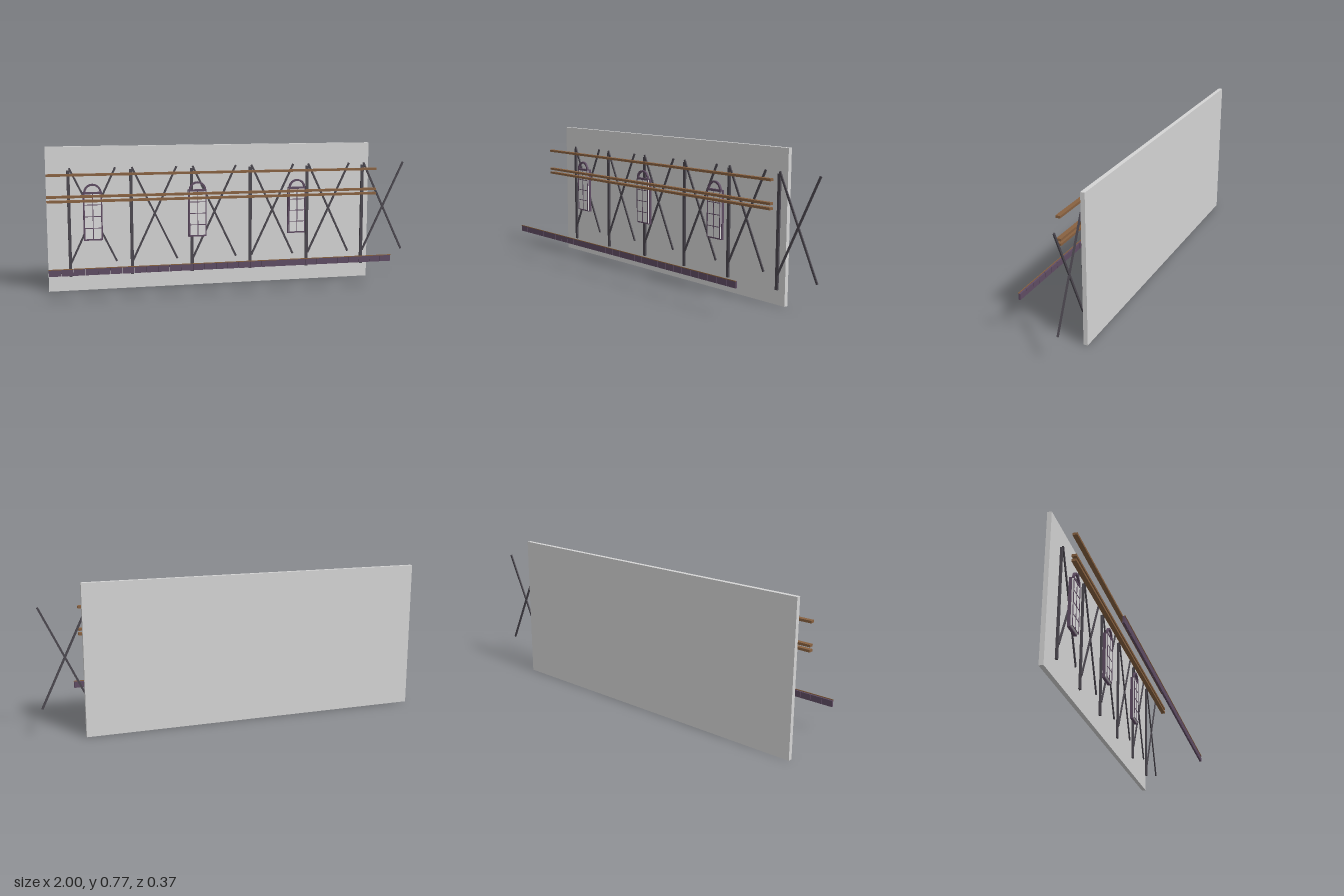
import * as THREE from 'three';

const mat = (name, color) => {
  const m = new THREE.MeshStandardMaterial({ color });
  m.name = name;
  return m;
};

export function createModel() {
  const root = new THREE.Group();
  root.name = 'facadeWall';
  const concrete = mat('light concrete grey', 0xd5d5d5);
  const iron = mat('dark iron', 0x4b474f);
  const plum = mat('dark plum', 0x5f4c63);
  const wood = mat('brown wood', 0x886140);
  const glass = mat('pale glass', 0xdcdcdc);

  // Box given by its minimum and maximum corners
  const box = (parent, name, material, x0, x1, y0, y1, z0, z1) => {
    const mesh = new THREE.Mesh(new THREE.BoxGeometry(x1 - x0, y1 - y0, z1 - z0), material);
    mesh.position.set((x0 + x1) / 2, (y0 + y1) / 2, (z0 + z1) / 2);
    mesh.name = name;
    parent.add(mesh);
    return mesh;
  };

  const L = -1, R = 0.793;
  box(root, 'wall', concrete, L, R, 0, 0.77, -0.185, -0.163);

  // Horizontal wooden rails
  for (const y of [0.494, 0.518, 0.63]) {
    box(root, 'rail', wood, L, R, y - 0.006, y + 0.006, -0.06, -0.037);
  }

  // Low kerb made from a row of blocks with a thin cap strip
  const kerb = new THREE.Group();
  kerb.name = 'kerb';
  root.add(kerb);
  const count = 30, step = (R - L) / count;
  for (let i = 0; i < count; i++) {
    const x = L + i * step;
    box(kerb, 'kerbBlock', plum, x, x + step - 0.002, 0.153, 0.185, 0.172, 0.182);
  }
  box(kerb, 'kerbCap', wood, L, R, 0.185, 0.189, 0.181, 0.184);

  // Posts, each followed by a pair of crossed braces
  const run = 0.24, rise = 0.503;
  for (let i = 0; i < 6; i++) {
    const bay = new THREE.Group();
    bay.name = 'bay';
    bay.position.x = -0.885 + i * 0.3275;
    root.add(bay);
    box(bay, 'post', iron, -0.008, 0.008, 0.079, 0.646, -0.155, -0.145);
    for (const side of [-1, 1]) {
      const brace = box(bay, 'brace', iron, -0.005, 0.005, 0, Math.hypot(run, rise), -0.149, -0.142);
      brace.position.x = 0.125;
      brace.position.y = 0.406;
      brace.rotation.z = side * Math.atan2(run, rise);
    }
  }

  // Arched fanlight ring, a half annulus extruded in depth
  const arch = new THREE.Shape();
  arch.absarc(0, 0, 0.047, 0, Math.PI, false);
  arch.absarc(0, 0, 0.037, Math.PI, 0, true);
  const archGeometry = new THREE.ExtrudeGeometry(arch, {
    depth: 0.011, bevelEnabled: false, curveSegments: 12,
  });

  for (const x of [-0.763, -0.204, 0.356]) {
    const win = new THREE.Group();
    win.name = 'window';
    win.position.x = x;
    root.add(win);
    // Deep outer frame
    for (const s of [-1, 1]) {
      box(win, 'jamb', plum, s * 0.046 - 0.004, s * 0.046 + 0.004, 0.274, 0.531, -0.135, -0.121);
      box(win, 'sashStile', plum, s * 0.045 - 0.003, s * 0.045 + 0.003, 0.28, 0.526, -0.112, -0.11);
    }
    for (const y of [0.274, 0.523]) {
      box(win, 'frameRail', plum, -0.05, 0.05, y, y + 0.008, -0.135, -0.121);
    }
    // Glass and glazing bars
    box(win, 'glass', glass, -0.047, 0.047, 0.28, 0.526, -0.12, -0.112);
    box(win, 'verticalBar', plum, -0.002, 0.002, 0.28, 0.526, -0.112, -0.11);
    for (const y of [0.282, 0.341, 0.403, 0.465, 0.524]) {
      box(win, 'crossBar', plum, -0.045, 0.045, y - 0.002, y + 0.002, -0.112, -0.11);
    }
    // Fanlight
    const ring = new THREE.Mesh(archGeometry, plum);
    ring.name = 'fanlightArch';
    ring.position.set(0, 0.529, -0.121);
    win.add(ring);
    box(win, 'fanlightSill', plum, -0.047, 0.047, 0.526, 0.533, -0.121, -0.11);
  }
  return root;
}
